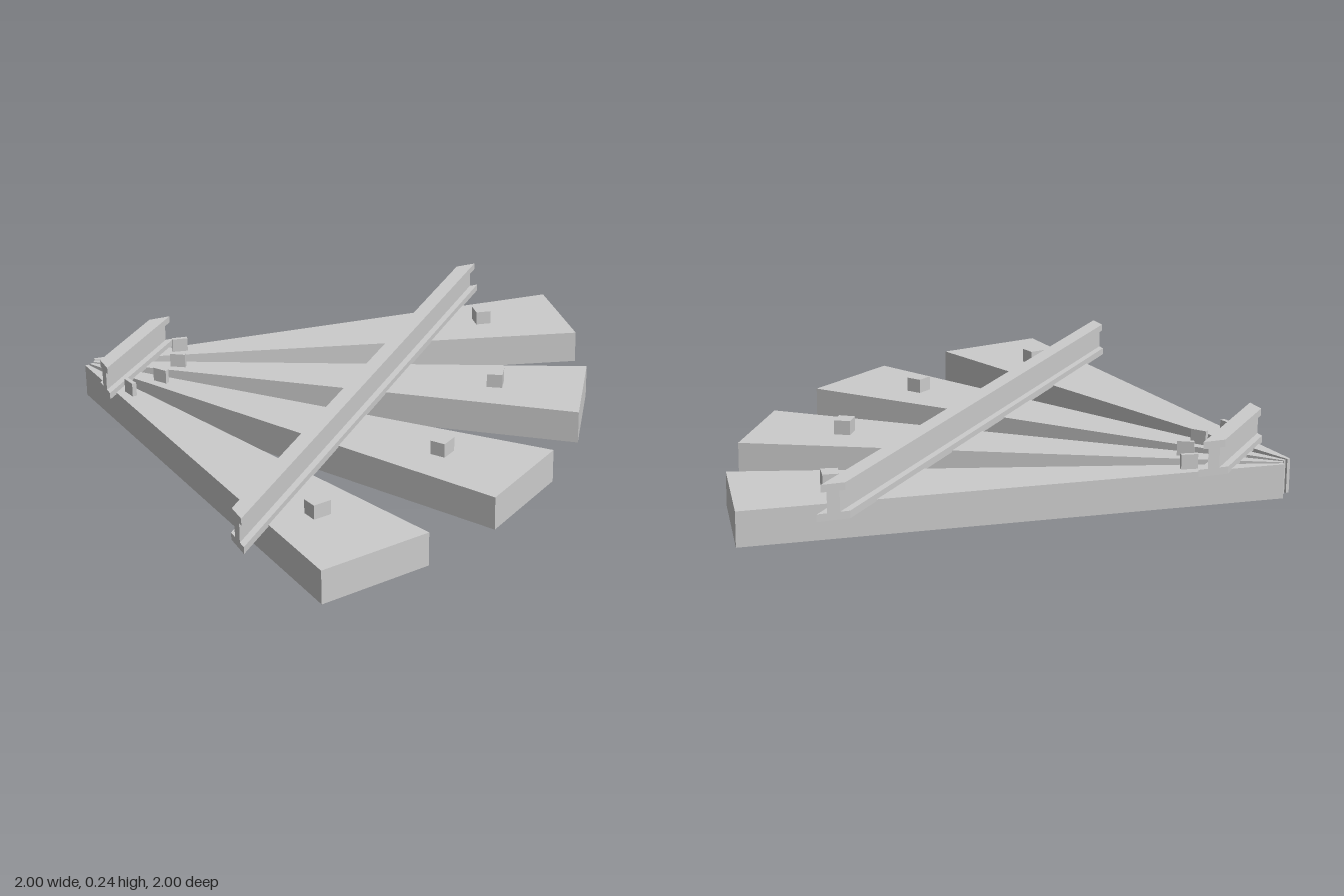
import * as THREE from 'three';

const material = new THREE.MeshStandardMaterial({ color: 0xcccccc, flatShading: true });
const HUB = -0.994; // x and z of the point all boards radiate from

// Box running from radius r0 to r1, its half width growing in proportion to the radius
function taperedBlock(name, r0, r1, slope, y0, y1) {
  const geometry = new THREE.BoxGeometry(r1 - r0, y1 - y0, 2);
  geometry.translate((r0 + r1) / 2, (y0 + y1) / 2, 0);
  const p = geometry.attributes.position;
  for (let i = 0; i < p.count; i++) p.setZ(i, p.getZ(i) * p.getX(i) * slope);
  geometry.computeVertexNormals();
  const mesh = new THREE.Mesh(geometry, material);
  mesh.name = name;
  return mesh;
}

// Diagonal I-beam along x + z = offset, mitred flush with x = -1 and z = -1
function diagonalBeam(name, offset) {
  const half = [
    [0.057, 0.119], [0.057, 0.145], [0.022, 0.145],
    [0.022, 0.217], [0.042, 0.217], [0.042, 0.243],
  ];
  const mirrored = half.map(([u, y]) => [-u, y]).reverse();
  const shape = new THREE.Shape([...half, ...mirrored].map(([u, y]) => new THREE.Vector2(u, y)));
  const geometry = new THREE.ExtrudeGeometry(shape, { depth: 1, bevelEnabled: false });
  const p = geometry.attributes.position;
  for (let i = 0; i < p.count; i++) {
    const reach = offset + p.getX(i) + 2;
    const t = p.getZ(i);
    p.setXYZ(i, -1 + (1 - t) * reach, p.getY(i), -1 + t * reach);
  }
  geometry.computeVertexNormals();
  const mesh = new THREE.Mesh(geometry, material);
  mesh.name = name;
  return mesh;
}

export function createModel() {
  const model = new THREE.Group();
  model.name = 'fannedBoards';

  // Four boards across the quarter circle, each with two pegs on top
  for (let i = 0; i < 4; i++) {
    const sector = new THREE.Group();
    sector.name = `sector${i + 1}`;
    sector.add(
      taperedBlock('board', 0.058, 1.987, 0.1105, 0, 0.125),
      taperedBlock('innerPeg', 0.37, 0.43, 0.0208, 0.12, 0.178),
      taperedBlock('outerPeg', 1.62, 1.68, 0.0208, 0.12, 0.178),
    );
    sector.position.set(HUB, 0, HUB);
    sector.rotation.y = -Math.PI / 16 * (1 + 2 * i);
    model.add(sector);
  }

  // Cross beams resting on the boards
  model.add(diagonalBeam('shortBeam', -1.653), diagonalBeam('longBeam', -0.282));
  return model;
}
